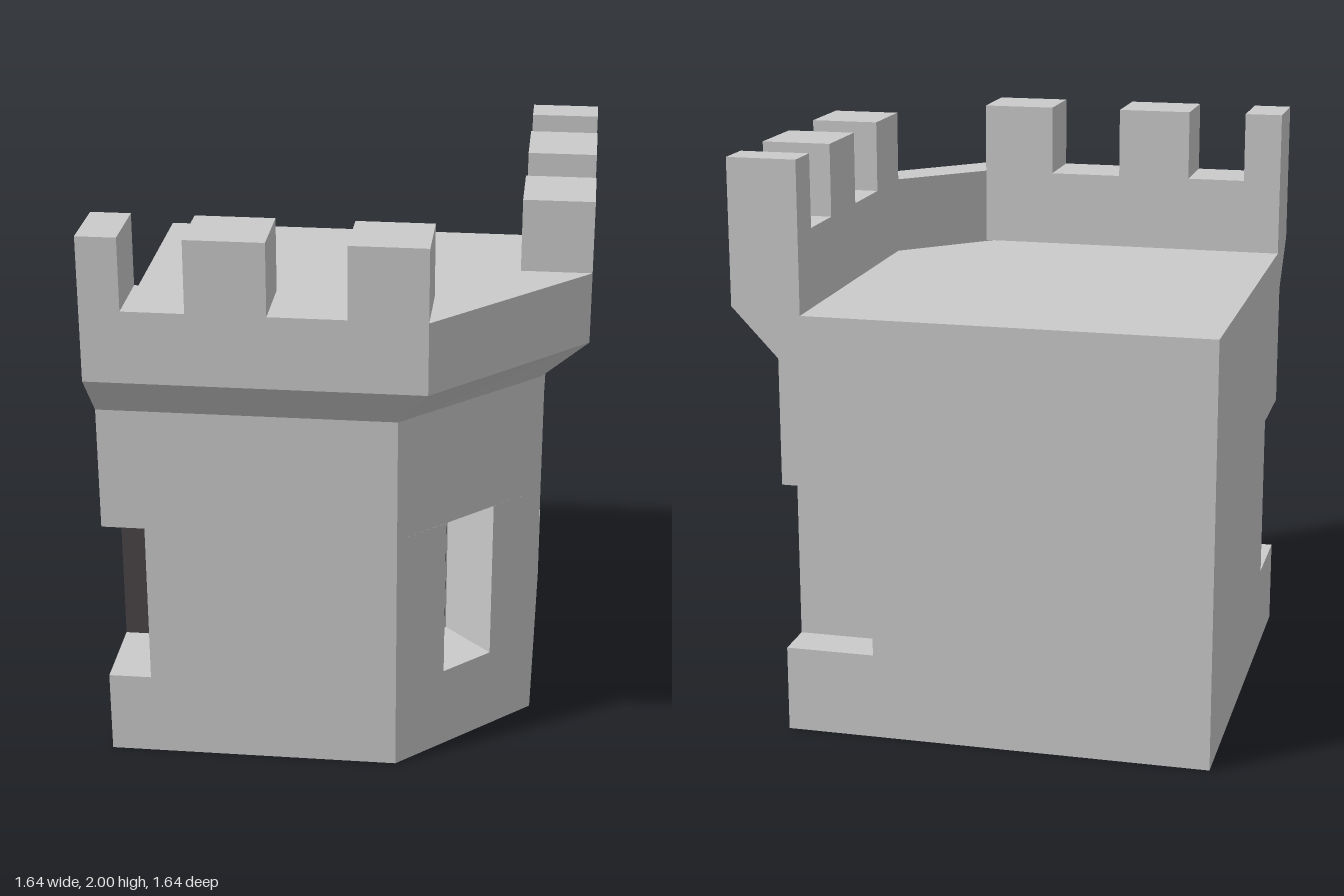
import * as THREE from 'three';

const stone = new THREE.MeshStandardMaterial({ color: 0xcacaca });
stone.name = 'stone';
const shade = new THREE.MeshStandardMaterial({ color: 0x4b4548 });
shade.name = 'window shade';

const END = -0.82, WALL = 0.66, OUTER = 0.82, INNER = 0.58, CORNER = 0.31;
const SILL = 0.3, LINTEL = 0.89, CORNICE = 1.33, FLOOR = 1.48, LEDGE = 1.5, PARAPET = 1.75, TOP = 2;
const SLOT = -0.67, SLOT_BACK = 0.35, DEPTH = 0.17;

// Extrudes a plan of [x, z] points between two heights
function slab(name, plan, y0, y1) {
  const shape = new THREE.Shape(plan.map(([x, z]) => new THREE.Vector2(x, -z)));
  const geo = new THREE.ExtrudeGeometry(shape, { depth: y1 - y0, bevelEnabled: false });
  geo.rotateX(-Math.PI / 2).translate(0, y0, 0);
  const mesh = new THREE.Mesh(geo, stone);
  mesh.name = name;
  return mesh;
}

// Closed profile carried through a row of stations, with flat ends
function sweep(name, stations) {
  const pos = [];
  const tri = (a, b, c) => pos.push(...a, ...b, ...c);
  const n = stations[0].length;
  for (let s = 0; s < stations.length - 1; s++) {
    const a = stations[s], b = stations[s + 1];
    for (let i = 0; i < n; i++) {
      const j = (i + 1) % n;
      tri(a[i], b[i], b[j]);
      tri(a[i], b[j], a[j]);
    }
  }
  const first = stations[0], last = stations[stations.length - 1];
  for (let i = 1; i < n - 1; i++) {
    tri(first[0], first[i], first[i + 1]);
    tri(last[0], last[i + 1], last[i]);
  }
  const geo = new THREE.BufferGeometry();
  geo.setAttribute('position', new THREE.Float32BufferAttribute(pos, 3));
  geo.computeVertexNormals();
  const mesh = new THREE.Mesh(geo, stone);
  mesh.name = name;
  return mesh;
}

// Dark panel closing the back of a window slot
function panel(name, width, x, z, turn) {
  const mesh = new THREE.Mesh(new THREE.PlaneGeometry(width, LINTEL - SILL), shade);
  mesh.name = name;
  mesh.rotation.y = turn;
  mesh.position.set(x + 0.002 * Math.sin(turn), (SILL + LINTEL) / 2, z + 0.002 * Math.cos(turn));
  return mesh;
}

export function createModel() {
  const group = new THREE.Group();
  group.name = 'cornerTower';

  // Walls: solid below and above the windows, notched between
  const plan = [[END, WALL], [0.2, WALL], [WALL, 0.22], [WALL, END], [END, END]];
  const a = [0.357, 0.511], b = [0.513, 0.361];
  const notched = [
    [END, SLOT_BACK], [SLOT, SLOT_BACK], [SLOT, WALL], [0.2, WALL],
    a, [a[0] - DEPTH, a[1] - DEPTH], [b[0] - DEPTH, b[1] - DEPTH], b,
    [WALL, 0.22], [WALL, SLOT], [SLOT_BACK, SLOT], [SLOT_BACK, END], [END, END],
  ];
  group.add(slab('lowerWall', plan, 0, SILL));
  group.add(slab('windowWall', notched, SILL, LINTEL));
  group.add(slab('upperWallAndRoof', plan, LINTEL, FLOOR));

  // Window backs
  const half = (END + SLOT) / 2, width = SLOT - END;
  group.add(panel('frontWindow', width, half, SLOT_BACK, 0));
  group.add(panel('sideWindow', width, SLOT_BACK, half, Math.PI / 2));
  group.add(panel('cornerWindow', Math.hypot(a[0] - b[0], a[1] - b[1]),
    (a[0] + b[0]) / 2 - DEPTH, (a[1] + b[1]) / 2 - DEPTH, Math.PI / 4));

  // Flared cornice and parapet around the two outer sides
  const station = (wall, outer, inner) => [
    [wall[0], CORNICE, wall[1]], [outer[0], LEDGE, outer[1]], [outer[0], PARAPET, outer[1]],
    [inner[0], PARAPET, inner[1]], [inner[0], FLOOR, inner[1]],
  ];
  group.add(sweep('parapet', [
    station([END, WALL], [END, OUTER], [END, INNER]),
    station([0.2, WALL], [CORNER, OUTER], [CORNER, INNER]),
    station([WALL, 0.22], [OUTER, CORNER], [INNER, CORNER]),
    station([WALL, END], [OUTER, END], [INNER, END]),
  ]));

  // Merlons, the same spacing on both sides
  const mid = (INNER + OUTER) / 2, thick = OUTER - INNER;
  for (const [from, to] of [[END, -0.685], [-0.475, -0.21], [0.05, CORNER]]) {
    for (const side of ['front', 'side']) {
      const front = side === 'front', len = to - from, c = (from + to) / 2;
      const geo = new THREE.BoxGeometry(front ? len : thick, TOP - PARAPET, front ? thick : len);
      const mesh = new THREE.Mesh(geo, stone);
      mesh.name = side + 'Merlon';
      mesh.position.set(front ? c : mid, (PARAPET + TOP) / 2, front ? mid : c);
      group.add(mesh);
    }
  }
  return group;
}
